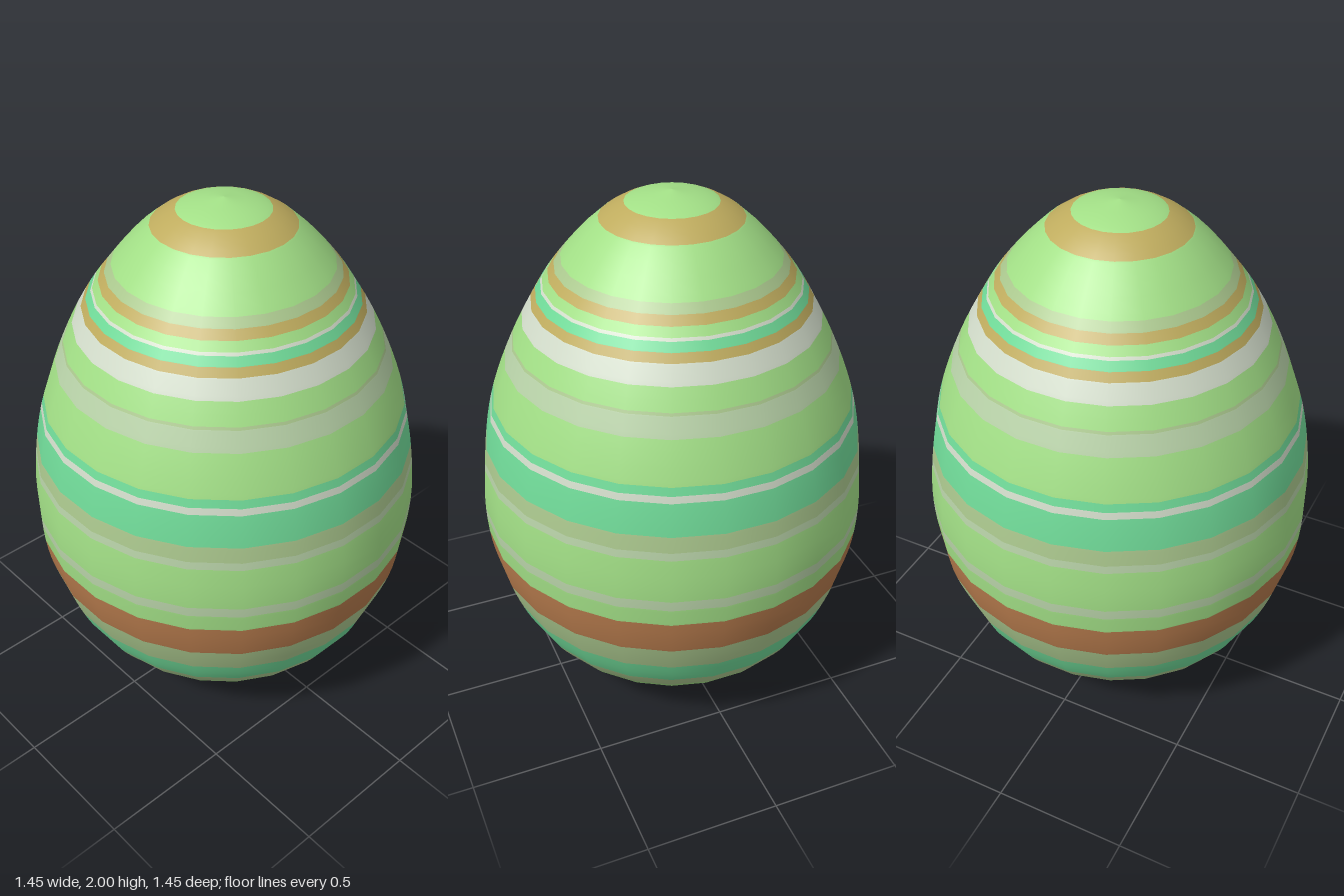
import * as THREE from 'three';

const SIDES = 24;

const paint = (name, color) => {
  const m = new THREE.MeshStandardMaterial({ color });
  m.name = name;
  return m;
};

const materials = [
  paint('leafGreen', 0xa2df86),
  paint('ochre', 0xbfac5e),
  paint('mint', 0x70da98),
  paint('paleGrey', 0xd2dcca),
  paint('paleSage', 0xb8d2a8),
  paint('sage', 0xabc88e),
  paint('brown', 0xb57a4c),
];
const [GREEN, OCHRE, MINT, PALE, PALE_SAGE, SAGE, BROWN] = materials.keys();

// Painted stripes from bottom to top: [upper height, colour]
const stripes = [
  [0.016, GREEN], [0.029, MINT], [0.058, GREEN], [0.1, OCHRE], [0.24, GREEN],
  [0.315, SAGE], [0.43, MINT], [0.545, SAGE], [0.69, BROWN], [0.76, GREEN],
  [0.8, PALE_SAGE], [0.97, GREEN], [1.0, PALE_SAGE], [1.06, SAGE], [1.18, MINT],
  [1.205, PALE], [1.235, MINT], [1.385, GREEN], [1.455, PALE_SAGE], [1.465, SAGE],
  [1.54, GREEN], [1.605, PALE], [1.635, OCHRE], [1.665, MINT], [1.675, PALE],
  [1.705, GREEN], [1.735, OCHRE], [1.765, SAGE], [1.905, GREEN], [1.96, OCHRE],
  [3, GREEN],
];

// Egg outline from the base to the tip: radius, height
const outline = [
  [0, 0], [0.13, 0.004], [0.3, 0.05], [0.39, 0.1], [0.51, 0.19], [0.603, 0.31],
  [0.66, 0.43], [0.712, 0.6], [0.731, 0.8], [0.716, 1.0], [0.678, 1.2],
  [0.607, 1.4], [0.508, 1.6], [0.412, 1.74], [0.262, 1.9], [0.15, 1.967], [0, 2],
];

// Smooth the outline and add a ring at every stripe edge
function eggProfile() {
  const curve = new THREE.CatmullRomCurve3(outline.map(([r, y]) => new THREE.Vector3(r, y, 0)));
  const smooth = curve.getPoints((outline.length - 1) * 4).map(p => new THREE.Vector2(Math.max(p.x, 0), p.y));
  const profile = [smooth[0]];
  for (let i = 1; i < smooth.length; i++) {
    const a = smooth[i - 1], b = smooth[i];
    for (const [y] of stripes) {
      if (y > a.y + 1e-4 && y < b.y - 1e-4) {
        profile.push(new THREE.Vector2().lerpVectors(a, b, (y - a.y) / (b.y - a.y)));
      }
    }
    profile.push(b);
  }
  return profile;
}

export function createModel() {
  const profile = eggProfile();
  const geometry = new THREE.LatheGeometry(profile, SIDES, Math.PI / SIDES);

  // Regroup the faces ring by ring so that each ring takes its stripe's colour
  const rings = profile.length - 1;
  const old = geometry.index.array;
  const index = [];
  for (let j = 0; j < rings; j++) {
    const middle = (profile[j].y + profile[j + 1].y) / 2;
    const colour = stripes.find(([top]) => middle < top)[1];
    geometry.addGroup(index.length, SIDES * 6, colour);
    for (let i = 0; i < SIDES; i++) {
      const start = (i * rings + j) * 6;
      index.push(...old.slice(start, start + 6));
    }
  }
  geometry.setIndex(index);

  const shell = new THREE.Mesh(geometry, materials);
  shell.name = 'stripedEggShell';
  const model = new THREE.Group();
  model.name = 'egg';
  model.add(shell);
  return model;
}
